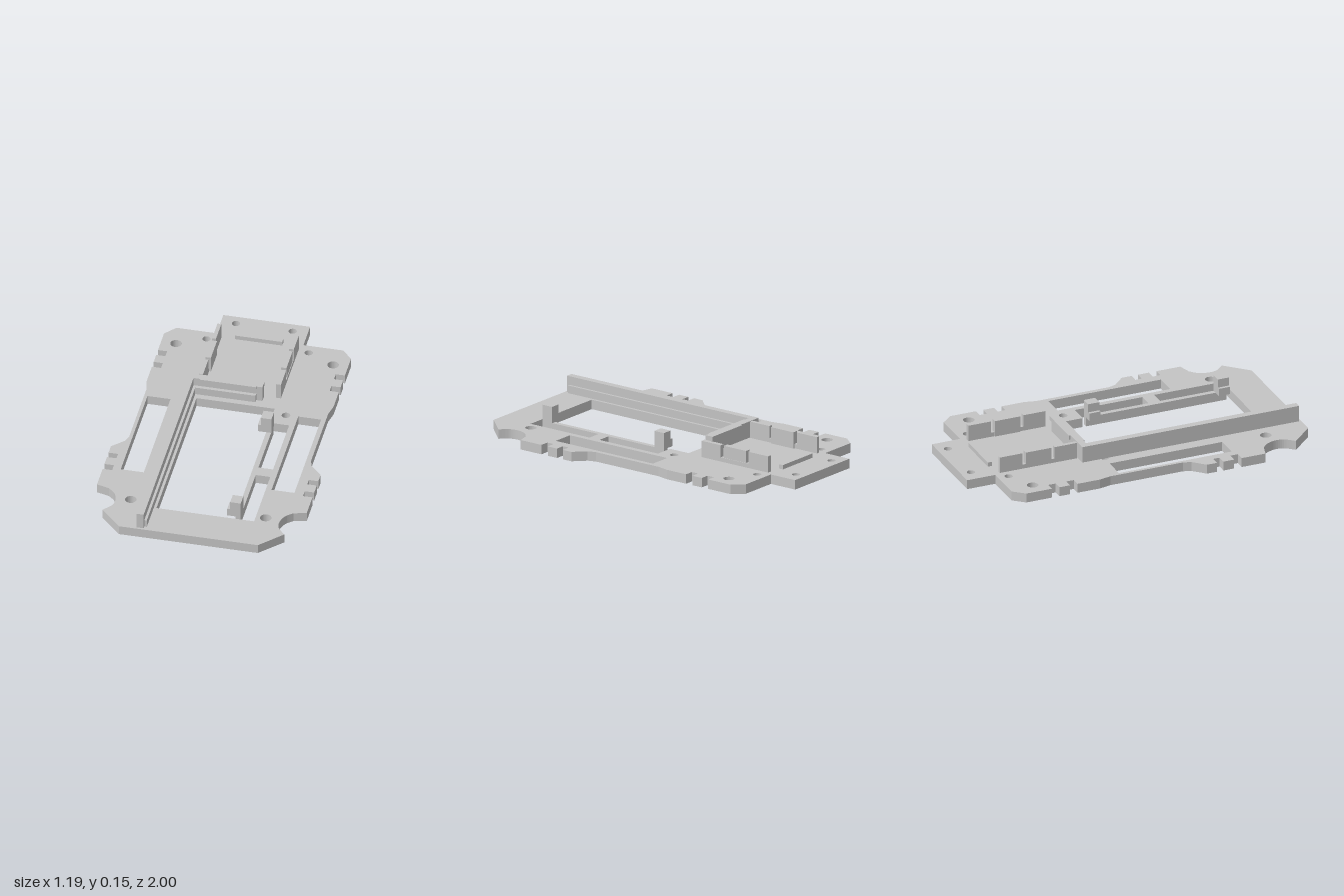
import * as THREE from 'three';

const T = 0.055; // plate thickness
const H = 0.15;  // top of the walls

export function createModel() {
  const model = new THREE.Group();
  model.name = 'mountingFrame';
  const grey = new THREE.MeshStandardMaterial({ color: 0xc4c4c4 });
  grey.name = 'grey plastic';

  // Box given by its limits on each axis
  function block(name, x0, x1, y0, y1, z0, z1) {
    const mesh = new THREE.Mesh(new THREE.BoxGeometry(x1 - x0, y1 - y0, z1 - z0), grey);
    mesh.position.set((x0 + x1) / 2, (y0 + y1) / 2, (z0 + z1) / 2);
    mesh.name = name;
    model.add(mesh);
  }
  const toVec = ([x, z]) => new THREE.Vector2(x, -z);

  // Half outline of the plate as (x, z), back to front
  const half = [[0.247, -1], [0.247, -0.83], [0.475, -0.83], [0.532, -0.765]];
  // Pairs of edge notches
  const notch = (edge, inner, z0, z1) => half.push([edge, z0], [inner, z0], [inner, z1], [edge, z1]);
  notch(0.532, 0.48, -0.61, -0.565);
  notch(0.532, 0.48, -0.5, -0.455);
  half.push([0.532, -0.32], [0.517, -0.25], [0.517, 0.19], [0.532, 0.235], [0.597, 0.3]);
  notch(0.597, 0.543, 0.36, 0.4);
  notch(0.597, 0.543, 0.465, 0.51);
  half.push([0.597, 0.655]);
  // Round cut-out near the front corner
  const bite = new THREE.SplineCurve([[0.525, 0.675], [0.487, 0.71], [0.467, 0.765],
    [0.474, 0.82], [0.518, 0.873]].map((p) => new THREE.Vector2(...p)));
  bite.getPoints(20).forEach((p) => half.push([p.x, p.y]));
  half.push([0.395, 1]);
  // Full outline, counter-clockwise so that the hole walls face inward
  const mirrored = half.map(([x, z]) => [-x, z]);
  const plate = new THREE.Shape([...mirrored, ...half.reverse()].map(toVec));

  const cut = (points) => plate.holes.push(new THREE.Path(points.map(toVec)));
  // Long side windows
  for (const [a, b] of [[-0.498, -0.367], [0.36, 0.49]]) {
    cut([[a, -0.19], [b, -0.19], [b, 0.492], [a, 0.492]]);
  }
  // Main opening, leaving a rail held by one bridge
  cut([[-0.228, -0.23], [0.217, -0.23], [0.217, -0.1], [0.328, -0.1], [0.328, 0.31],
    [0.245, 0.31], [0.245, -0.08], [0.217, -0.08], [0.217, 0.772], [0.245, 0.772],
    [0.245, 0.38], [0.328, 0.38], [0.328, 0.793], [-0.228, 0.793]]);
  // Screw holes
  for (const [x, z, r] of [[0.161, -0.94, 0.023], [0.291, -0.768, 0.023],
    [0.447, -0.69, 0.032], [0.291, -0.186, 0.024], [0.384, 0.748, 0.032]]) {
    for (const s of [-1, 1]) {
      const hole = new THREE.Path();
      hole.absarc(s * x, -z, r, 0, Math.PI * 2, true);
      plate.holes.push(hole);
    }
  }
  const plateGeometry = new THREE.ExtrudeGeometry(plate, { depth: T, bevelEnabled: false, curveSegments: 16 });
  plateGeometry.rotateX(-Math.PI / 2);
  const base = new THREE.Mesh(plateGeometry, grey);
  base.name = 'basePlate';
  model.add(base);

  // Long wall with its ledge
  block('longWall', -0.297, -0.257, T, H, -0.325, 0.988);
  block('longWallLedge', -0.257, -0.243, T, 0.1, -0.285, 0.972);

  // Cross wall with a ledge, a top lip and a rear catch
  block('crossWall', -0.257, 0.135, T, H, -0.325, -0.285);
  block('crossWallLedge', -0.243, 0.1, T, 0.1, -0.285, -0.265);
  block('crossWallLip', -0.22, 0.1, 0.135, H, -0.285, -0.278);
  block('crossWallCatch', -0.135, 0.135, 0.125, H, -0.335, -0.325);

  // Low stop strip at the back
  block('backStop', -0.135, 0.133, T, 0.08, -0.826, -0.8);

  // Slotted side clips of the tray
  for (const [a, b, c, d] of [[-0.235, -0.213, -0.235, -0.203], [0.203, 0.23, 0.197, 0.227]]) {
    block('clipBase', a, b, T, 0.08, -0.797, -0.33);
    block('rearClip', a, b, 0.08, H, -0.797, -0.66);
    block('middleClip', c, d, T, H, -0.64, -0.485);
    block('frontClip', a, b, 0.08, H, -0.465, -0.33);
  }

  // Stepped posts at the ends of the rail
  for (const [z0, z1] of [[-0.08, -0.012], [0.705, 0.772]]) {
    block('post', 0.187, 0.247, T, H, z0, z1);
    block('postLedge', 0.17, 0.187, T, 0.1, z0, z1);
  }
  return model;
}
